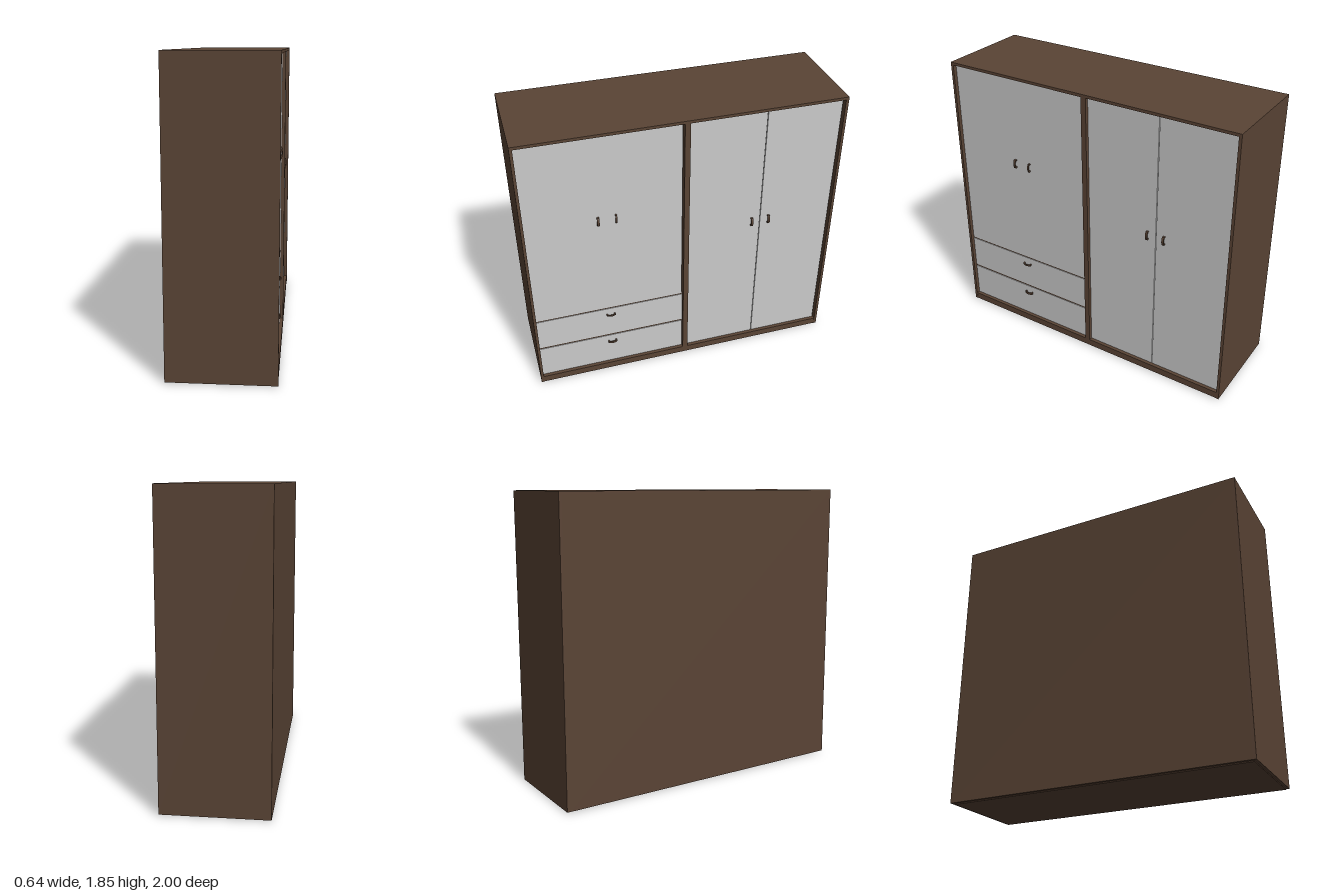
import * as THREE from 'three';

export function createModel() {
  const group = new THREE.Group();
  group.name = 'wardrobe';
  const wood = new THREE.MeshStandardMaterial({ color: 0x5a4435 });
  wood.name = 'dark brown wood';
  const panel = new THREE.MeshStandardMaterial({ color: 0xcccccc });
  panel.name = 'pale grey panel';

  const H = 1.845, X = 0.32, FACE = 0.296;

  // Box given by its minimum and maximum corners
  function box(name, mat, x0, x1, y0, y1, z0, z1) {
    const mesh = new THREE.Mesh(new THREE.BoxGeometry(x1 - x0, y1 - y0, z1 - z0), mat);
    mesh.position.set((x0 + x1) / 2, (y0 + y1) / 2, (z0 + z1) / 2);
    mesh.name = name;
    group.add(mesh);
  }

  // Carcass
  for (const s of [-1, 1]) {
    const a = s * 0.982, b = s;
    box('sidePanel', wood, -X, X, 0.006, H, Math.min(a, b), Math.max(a, b));
  }
  box('topPanel', wood, -X, X, H - 0.018, H, -0.982, 0.982);
  box('backPanel', wood, -X, -X + 0.015, 0.006, H - 0.018, -0.982, 0.982);
  box('bottomPanel', wood, -X + 0.015, X - 0.002, 0.006, 0.052, -0.982, 0.982);
  box('baseBoard', wood, -0.3, 0.31, 0, 0.006, -0.982, 0.982);
  box('divider', wood, -X + 0.015, X - 0.002, 0.052, H - 0.018, -0.022, 0.012);
  box('drawerShelf', wood, -X + 0.015, FACE - 0.004, 0.522, 0.54, 0.012, 0.982);
  box('drawerRail', wood, 0.2, FACE - 0.004, 0.282, 0.305, 0.012, 0.982);

  // Doors and drawer fronts, set back inside the frame
  const front = (name, y0, y1, z0, z1) => box(name, panel, FACE - 0.018, FACE, y0, y1, z0, z1);
  front('wideDoor', 0.536, 1.822, 0.018, 0.981);
  front('upperDrawerFront', 0.299, 0.526, 0.014, 0.981);
  front('lowerDrawerFront', 0.053, 0.287, 0.014, 0.981);
  front('narrowDoor', 0.053, 1.826, -0.498, -0.023);
  front('narrowDoor', 0.053, 1.826, -0.975, -0.502);

  // Arched pull: a bowed strip with two feet
  function handle(y, z, width, horizontal) {
    const s = new THREE.Shape();
    s.moveTo(0, -0.029);
    s.lineTo(0.014, -0.029);
    s.quadraticCurveTo(0.03, 0, 0.014, 0.029);
    s.lineTo(0, 0.029);
    s.lineTo(0, 0.021);
    s.lineTo(0.009, 0.021);
    s.quadraticCurveTo(0.021, 0, 0.009, -0.021);
    s.lineTo(0, -0.021);
    s.closePath();
    const geo = new THREE.ExtrudeGeometry(s, { depth: width, bevelEnabled: false, curveSegments: 8 });
    geo.translate(0, 0, -width / 2);
    const mesh = new THREE.Mesh(geo, wood);
    if (horizontal) mesh.rotation.x = Math.PI / 2;
    mesh.position.set(FACE, y, z);
    mesh.name = horizontal ? 'drawerHandle' : 'doorHandle';
    group.add(mesh);
  }
  handle(1.243, 0.542, 0.014, false);
  handle(1.243, 0.432, 0.01, false);
  handle(1.032, -0.443, 0.014, false);
  handle(1.032, -0.556, 0.014, false);
  handle(0.478, 0.498, 0.01, true);
  handle(0.237, 0.498, 0.014, true);

  return group;
}
